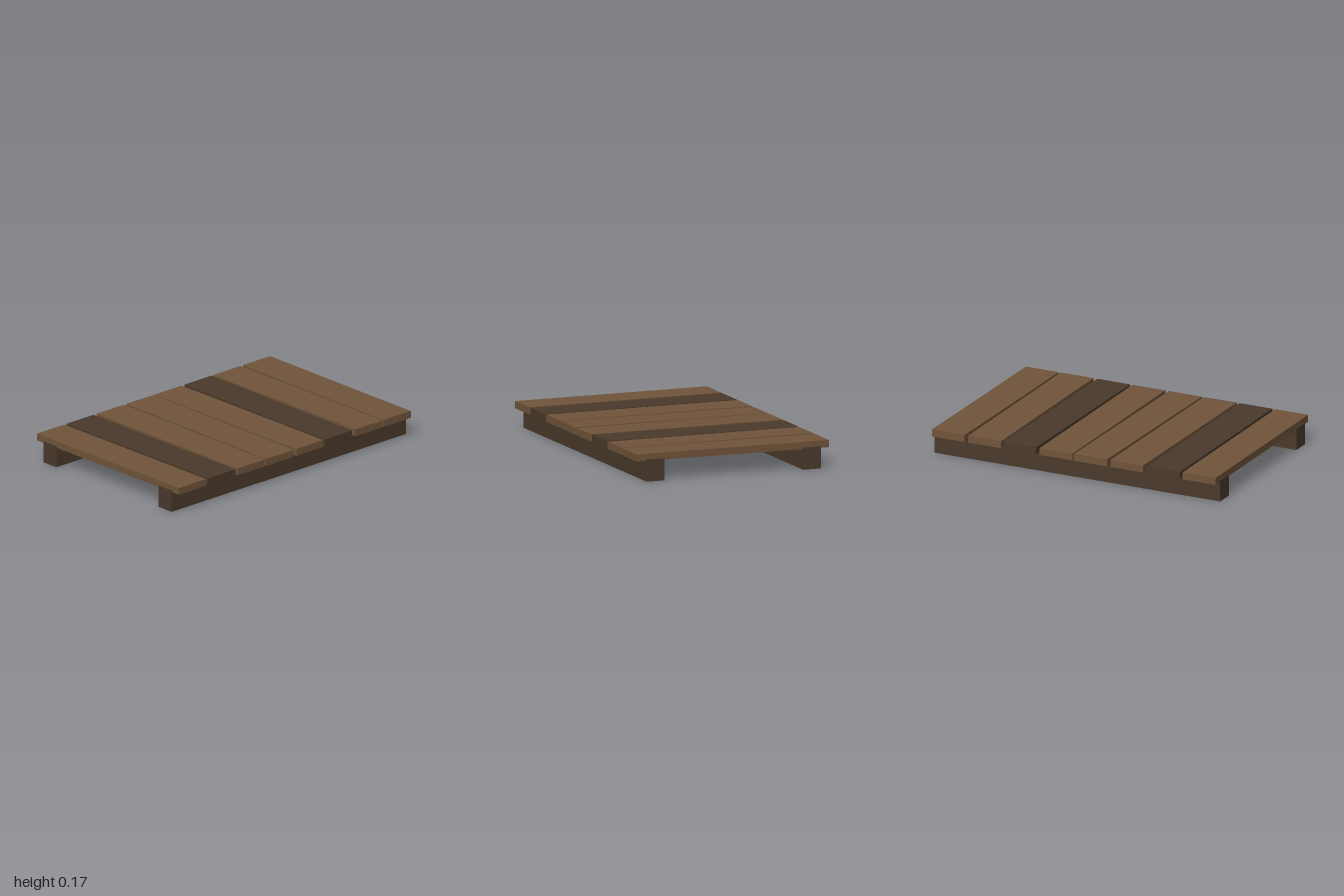
import * as THREE from 'three';

export function createModel() {
  const group = new THREE.Group();
  const wood = new THREE.MeshStandardMaterial({ color: 0x70543a });
  wood.name = 'brown wood';
  const darkWood = new THREE.MeshStandardMaterial({ color: 0x4a392b });
  darkWood.name = 'dark wood';

  // Two support beams under the deck
  const beamGeometry = new THREE.BoxGeometry(2, 0.14, 0.12);
  for (const [name, side] of [['frontBeam', 1], ['backBeam', -1]]) {
    const beam = new THREE.Mesh(beamGeometry, darkWood);
    beam.name = name;
    beam.position.set(0, 0.07, side * 0.53);
    group.add(beam);
  }

  // Deck planks, each turned very slightly: [centre x, turn, material]
  const planks = [
    [-0.88, 0.004, wood],
    [-0.63, 0.004, darkWood],
    [-0.377, -0.002, wood],
    [-0.128, -0.008, wood],
    [0.12, 0.003, wood],
    [0.371, -0.004, darkWood],
    [0.622, 0.004, wood],
    [0.871, -0.004, wood],
  ];
  const plankGeometry = new THREE.BoxGeometry(0.23, 0.046, 1.3);
  planks.forEach(([x, turn, material], i) => {
    const plank = new THREE.Mesh(plankGeometry, material);
    plank.name = `plank${i + 1}`;
    plank.position.set(x, 0.152, 0);
    plank.rotation.y = turn;
    group.add(plank);
  });

  return group;
}
